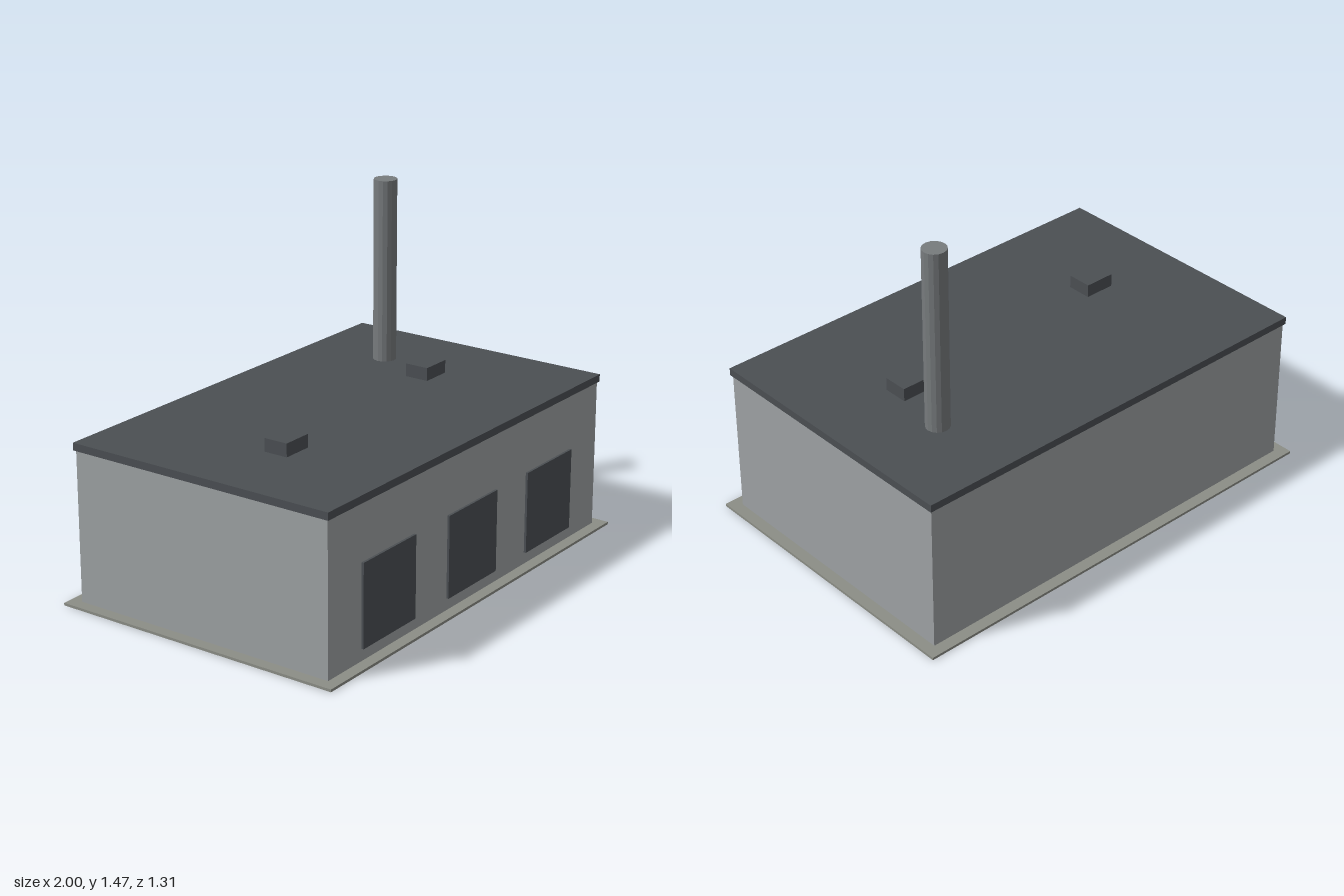
import * as THREE from 'three';

export function createModel() {
  const building = new THREE.Group();
  building.name = 'industrialBuilding';

  const material = (color) => new THREE.MeshStandardMaterial({ color, flatShading: true });
  const wallGrey = material(0x9da1a3);
  const darkGrey = material(0x4b4f53);
  const slabGrey = material(0x8c8e86);
  const stackGrey = material(0x777b7d);

  const add = (name, geometry, mat, x, y, z) => {
    const mesh = new THREE.Mesh(geometry, mat);
    mesh.name = name;
    mesh.position.set(x, y, z);
    building.add(mesh);
  };
  // Box standing on height y
  const box = (name, mat, w, h, d, x, y, z) =>
    add(name, new THREE.BoxGeometry(w, h, d), mat, x, y + h / 2, z);

  // Ground slab, hall and overhanging flat roof
  box('groundSlab', slabGrey, 2, 0.011, 1.31, 0, 0, 0);
  box('walls', wallGrey, 1.9, 0.639, 1.21, 0, 0.011, 0);
  box('roof', darkGrey, 1.916, 0.032, 1.226, 0, 0.65, 0);

  // Three loading doors on the front wall
  for (const [i, x] of [-0.57, 0, 0.57].entries()) {
    box(`loadingDoor${i + 1}`, darkGrey, 0.342, 0.35, 0.02, x, 0.062, 0.605);
  }

  // Roof vents
  box('roofVentRight', darkGrey, 0.135, 0.056, 0.107, -0.533, 0.682, 0.1);
  box('roofVentLeft', darkGrey, 0.135, 0.056, 0.107, 0.527, 0.682, 0.023);

  // Chimney
  add('chimney', new THREE.CylinderGeometry(0.05, 0.05, 0.788, 16), stackGrey, 0.605, 1.076, -0.242);

  return building;
}
